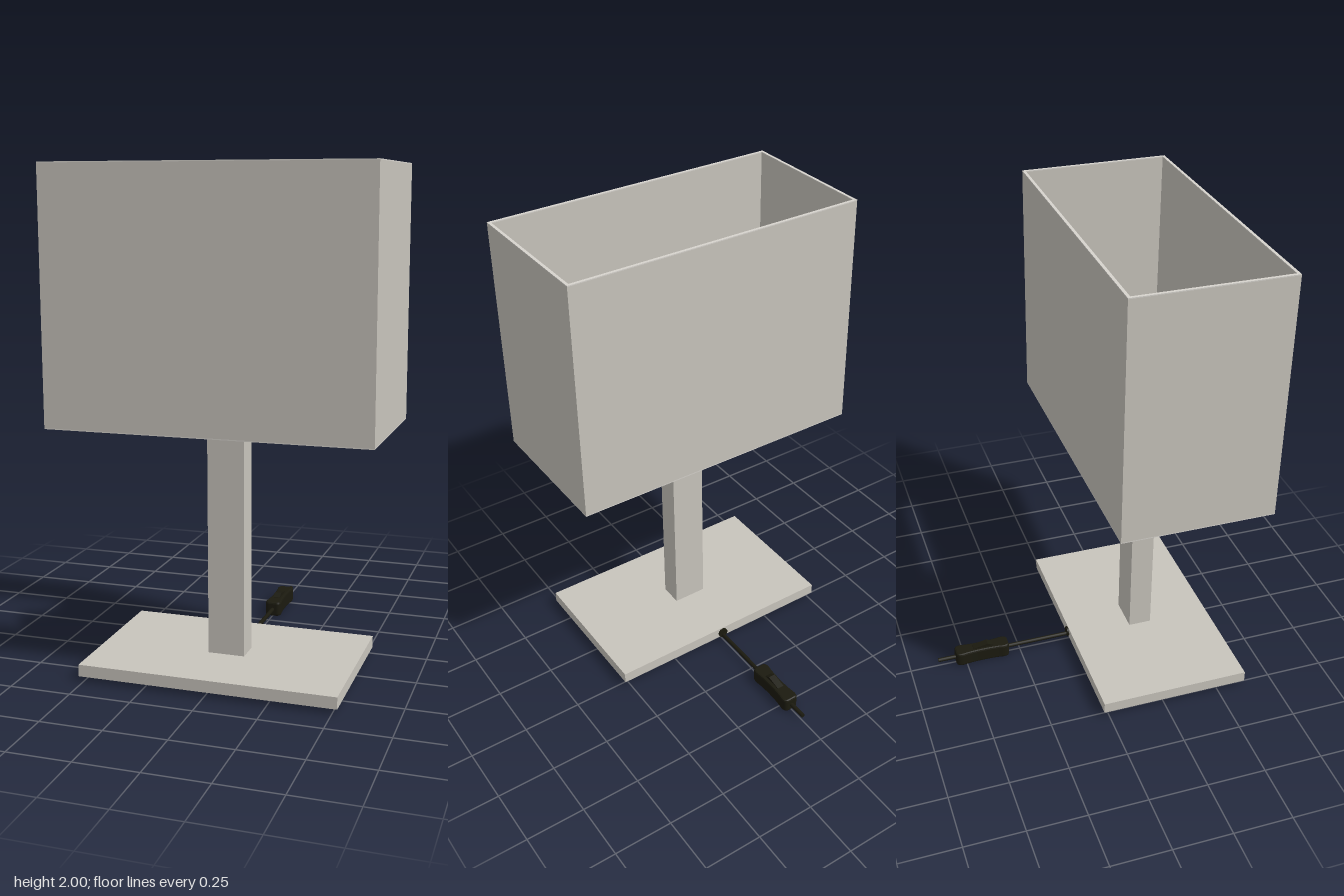
import * as THREE from 'three';

const CZ = 0.302; // depth of the lamp axis

export function createModel() {
  const lamp = new THREE.Group();
  lamp.name = 'tableLamp';

  const mat = (name, color) => {
    const m = new THREE.MeshStandardMaterial({ color, side: THREE.DoubleSide });
    m.name = name;
    return m;
  };
  const greige = mat('warm grey', 0xc8c4bc);
  const pale = mat('pale grey', 0xd6d3cd);
  const black = mat('soft black', 0x1b1a0f);

  const add = (name, geometry, material, x = 0, y = 0, z = 0, parent = lamp) => {
    const m = new THREE.Mesh(geometry, material);
    m.name = name;
    m.position.set(x, y, z);
    parent.add(m);
    return m;
  };
  const box = (name, material, x0, x1, y0, y1, z0, z1, parent) =>
    add(name, new THREE.BoxGeometry(x1 - x0, y1 - y0, z1 - z0), material,
      (x0 + x1) / 2, (y0 + y1) / 2, (z0 + z1) / 2, parent);
  const outline = (pts) => new THREE.Shape(pts.map(([a, b]) => new THREE.Vector2(a, b)));
  // Plan shape in x,z extruded downwards from its top
  const slab = (shape, depth, options = {}) =>
    new THREE.ExtrudeGeometry(shape, { depth, bevelEnabled: false, ...options }).rotateX(Math.PI / 2);
  const rod = (name, material, a, b, r, parent) =>
    add(name, new THREE.TubeGeometry(
      new THREE.LineCurve3(new THREE.Vector3(...a), new THREE.Vector3(...b)), 1, r, 12), material, 0, 0, 0, parent);

  // Base: solid top over a lower layer with a wiring pocket and cord slot
  const base = new THREE.Group();
  base.name = 'base';
  lamp.add(base);
  const plan = (hx, z0, z1) => outline([
    [-hx, z0], [-0.012, z0], [-0.012, 0.2], [-0.13, 0.2], [-0.13, 0.4], [0.13, 0.4],
    [0.13, 0.2], [0.012, 0.2], [0.012, z0], [hx, z0], [hx, z1], [-hx, z1],
  ]);
  box('baseTop', greige, -0.52, 0.52, 0.042, 0.068, -0.02, 0.625, base);
  add('baseLower', slab(plan(0.52, -0.02, 0.625), 0.022), greige, 0, 0.042, 0, base);
  add('felt', slab(plan(0.51, -0.01, 0.615), 0.004), black, 0, 0.02, 0, base);
  box('pocketLining', black, -0.13, 0.13, 0.038, 0.042, 0.2, 0.4, base);
  for (const x of [-0.05, 0.05])
    for (const z of [0.25, 0.35])
      add('screw', new THREE.CylinderGeometry(0.01, 0.01, 0.008, 12), pale, x, 0.034, z, base);

  // Column
  box('column', greige, -0.075, 0.075, 0.068, 1.03, CZ - 0.05, CZ + 0.05);

  // Bulb socket: open cup on a narrower collar
  const socket = new THREE.Group();
  socket.name = 'socket';
  socket.position.z = CZ;
  lamp.add(socket);
  const cup = [[0, 1.03], [0.045, 1.03], [0.05, 1.06], [0.075, 1.08], [0.075, 1.26],
    [0.066, 1.26], [0.066, 1.12], [0, 1.12]].map(([r, y]) => new THREE.Vector2(r, y));
  add('socketCup', new THREE.LatheGeometry(cup, 40), pale, 0, 0, 0, socket);
  add('socketInsert', new THREE.CylinderGeometry(0.05, 0.05, 0.02, 32), greige, 0, 1.13, 0, socket);
  box('contactStrip', pale, -0.018, 0.018, 1.14, 1.148, -0.048, 0.048, socket);
  for (const s of [-1, 1]) {
    add('contactPin', new THREE.CylinderGeometry(0.011, 0.011, 0.02, 16), pale, s * 0.036, 1.146, 0, socket);
    box('socketTab', greige, s * 0.063 - 0.008, s * 0.063 + 0.008, 1.12, 1.24, -0.018, 0.018, socket);
  }

  // Shade carrier: flat ring with two sloping arms
  const ring = new THREE.Shape().absarc(0, 0, 0.12, 0, Math.PI * 2);
  ring.holes.push(new THREE.Path().absarc(0, 0, 0.073, 0, Math.PI * 2, true));
  add('carrierRing', slab(ring, 0.01, { curveSegments: 32 }), greige, 0, 1.18, CZ);
  for (const s of [-1, 1])
    rod('carrierArm', greige, [0, 1.175, CZ + s * 0.11], [0, 1.01, CZ + s * 0.304], 0.006);

  // Shade: open rectangular tube with pale rims
  const shade = new THREE.Group();
  shade.name = 'shade';
  lamp.add(shade);
  const frame = outline([[-0.64, -0.012], [0.64, -0.012], [0.64, 0.615], [-0.64, 0.615]]);
  frame.holes.push(outline([[-0.628, 0], [-0.628, 0.603], [0.628, 0.603], [0.628, 0]]));
  add('shadeWalls', slab(frame, 0.992), greige, 0, 1.996, 0, shade);
  add('topRim', slab(frame, 0.004), pale, 0, 2, 0, shade);
  add('bottomRim', slab(frame, 0.004), pale, 0, 1.004, 0, shade);
  box('shadeClip', greige, 0.605, 0.628, 1.0, 1.03, 0.262, 0.342, shade);

  // Cord, grommet and inline switch
  rod('cord', black, [0, 0.03, 0.3], [0, 0.03, -0.625], 0.009);
  add('cordEnd', new THREE.CircleGeometry(0.009, 12), black, 0, 0.03, -0.625);
  add('grommet', new THREE.CylinderGeometry(0.022, 0.022, 0.012, 24).rotateX(Math.PI / 2),
    black, 0, 0.042, -0.022);

  const body = new THREE.Shape();
  body.moveTo(-0.018, -0.114);
  body.lineTo(0.018, -0.114);
  body.quadraticCurveTo(0.03, -0.112, 0.028, -0.09);
  body.bezierCurveTo(0.02, -0.05, 0.02, 0.05, 0.028, 0.09);
  body.quadraticCurveTo(0.03, 0.112, 0.018, 0.114);
  body.lineTo(-0.018, 0.114);
  body.quadraticCurveTo(-0.03, 0.112, -0.028, 0.09);
  body.bezierCurveTo(-0.02, 0.05, -0.02, -0.05, -0.028, -0.09);
  body.quadraticCurveTo(-0.03, -0.112, -0.018, -0.114);
  add('switchBody', slab(body, 0.048, {
    bevelEnabled: true, bevelSize: 0.007, bevelThickness: 0.008, bevelSegments: 2, curveSegments: 8,
  }), black, 0, 0.056, -0.425);
  const rocker = outline([[0.37, 0.05], [0.47, 0.05], [0.465, 0.066], [0.4, 0.08], [0.375, 0.066]]);
  add('switchRocker', new THREE.ExtrudeGeometry(rocker, { depth: 0.03, bevelEnabled: false })
    .rotateY(Math.PI / 2), black, -0.015);

  return lamp;
}
